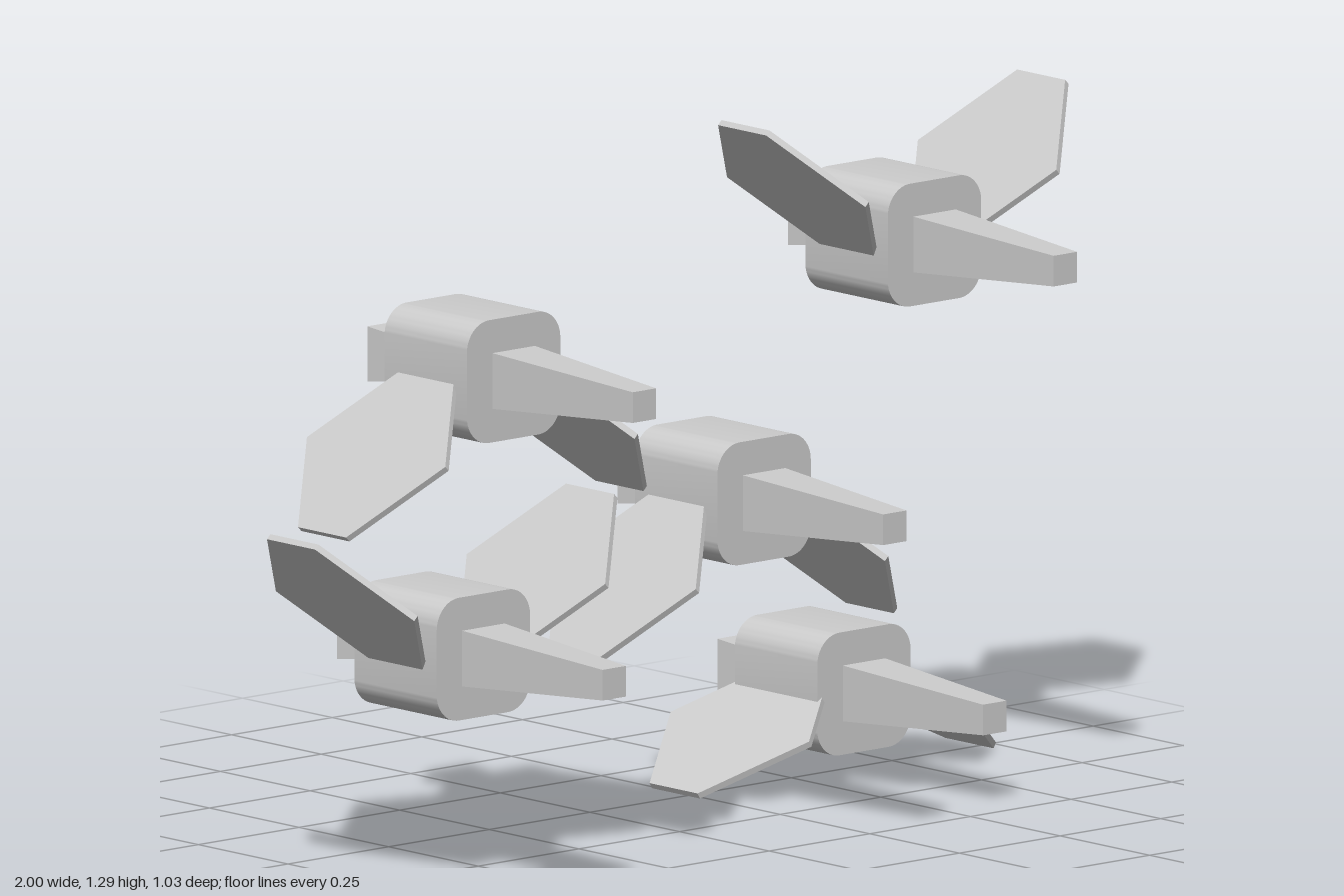
import * as THREE from 'three';
import { toCreasedNormals } from 'three/addons/utils/BufferGeometryUtils.js';

const material = new THREE.MeshStandardMaterial({ color: 0xcccccc });

// Body: rounded square prism along z
function bodyGeometry(half = 0.116, r = 0.055, depth = 0.23) {
  const s = new THREE.Shape();
  const c = half - r;
  s.absarc(c, c, r, 0, Math.PI / 2);
  s.absarc(-c, c, r, Math.PI / 2, Math.PI);
  s.absarc(-c, -c, r, Math.PI, Math.PI * 1.5);
  s.absarc(c, -c, r, Math.PI * 1.5, Math.PI * 2);
  s.closePath();
  const g = new THREE.ExtrudeGeometry(s, { depth, bevelEnabled: false, curveSegments: 8 });
  g.translate(0, 0, -depth / 2);
  return toCreasedNormals(g, 0.6);
}

// Square tapered bar between two z positions
function taperGeometry(zBack, halfBack, zFront, halfFront) {
  const g = new THREE.CylinderGeometry(halfFront * Math.SQRT2, halfBack * Math.SQRT2, zFront - zBack, 4);
  g.rotateY(Math.PI / 4);
  g.rotateX(Math.PI / 2);
  g.translate(0, 0, (zFront + zBack) / 2);
  return toCreasedNormals(g, 0.5);
}

// Wing: thin hexagonal plate lying in the xz plane, span along x
function wingGeometry(span = 0.19, chord = 0.193, tip = 0.067, thickness = 0.012) {
  const s = new THREE.Shape([
    [span, -tip], [span, tip], [0, chord], [-span, tip], [-span, -tip], [0, -chord],
  ].map(([x, y]) => new THREE.Vector2(x, y)));
  const g = new THREE.ExtrudeGeometry(s, { depth: thickness, bevelEnabled: false });
  g.translate(0, 0, -thickness / 2);
  g.rotateX(Math.PI / 2);
  return g;
}

export function createModel() {
  const flock = new THREE.Group();
  flock.name = 'birdFlock';

  const body = bodyGeometry();
  const neck = taperGeometry(0.11, 0.053, 0.48, 0.029);
  const tail = taperGeometry(-0.235, 0.052, -0.11, 0.036);
  const wing = wingGeometry();

  // Wing poses: tilt in degrees and centre of the left wing
  const up = { tilt: 45, x: 0.237, y: 0.111 };
  const down = { tilt: -45, x: 0.235, y: -0.131 };
  const glide = { tilt: -30, x: 0.203, y: -0.065 };

  const birds = [
    { at: [-0.55, 0.955, 0.04], pose: down },
    { at: [-0.625, 0.44, 0.04], pose: up },
    { at: [0.072, 0.643, 0.04], pose: down },
    { at: [0.62, 1.04, -0.1], pose: up },
    { at: [0.605, 0.167, -0.28], pose: glide },
  ];

  birds.forEach(({ at, pose }, i) => {
    const bird = new THREE.Group();
    bird.name = `bird${i + 1}`;
    bird.position.set(...at);
    const add = (name, geometry) => {
      const mesh = new THREE.Mesh(geometry, material);
      mesh.name = name;
      bird.add(mesh);
      return mesh;
    };
    add('body', body);
    add('neck', neck);
    add('tail', tail);
    for (const side of [1, -1]) {
      const w = add(side > 0 ? 'leftWing' : 'rightWing', wing);
      w.position.set(side * pose.x, pose.y, 0);
      w.rotation.z = side * THREE.MathUtils.degToRad(pose.tilt);
    }
    flock.add(bird);
  });

  return flock;
}
